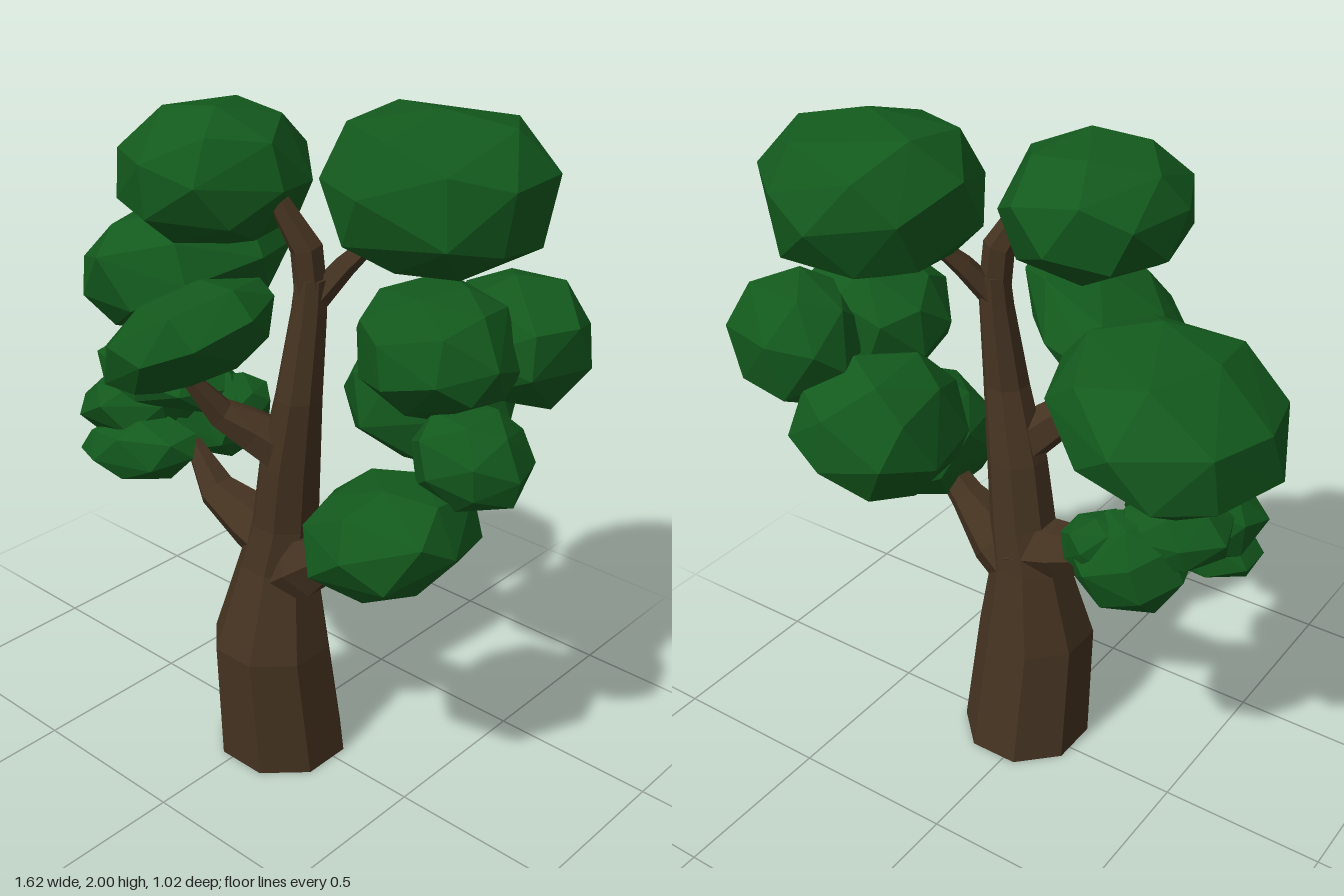
import * as THREE from 'three';
import { ConvexGeometry } from 'three/addons/geometries/ConvexGeometry.js';

const bark = new THREE.MeshStandardMaterial({ color: 0x453321, flatShading: true, side: THREE.DoubleSide });
const leaf = new THREE.MeshStandardMaterial({ color: 0x13591d, flatShading: true });

// Small seeded generator
function seeded(seed) {
  let s = seed * 7919 + 17;
  return () => (s = (s * 16807) % 2147483647) / 2147483647;
}

// Faceted tapering limb through [x, y, z, radius] stations, closed at its tip
function limb(name, stations, sides, level = false) {
  const up = new THREE.Vector3(0, 1, 0);
  const pts = stations.map(([x, y, z]) => new THREE.Vector3(x, y, z));
  const last = pts.length - 1;
  const rings = pts.map((p, i) => {
    const dir = pts[Math.min(i + 1, last)].clone().sub(pts[Math.max(i - 1, 0)]).normalize();
    const turn = new THREE.Quaternion().setFromUnitVectors(up, level ? up : dir);
    return Array.from({ length: sides }, (_, j) => {
      const a = ((j + 0.5) / sides) * Math.PI * 2;
      return new THREE.Vector3(Math.cos(a), 0, Math.sin(a))
        .multiplyScalar(stations[i][3]).applyQuaternion(turn).add(p);
    });
  });
  const out = [];
  const tri = (...vs) => vs.forEach((v) => out.push(v.x, v.y, v.z));
  for (let j = 0; j < sides; j++) {
    const k = (j + 1) % sides;
    for (let i = 0; i < last; i++) {
      tri(rings[i][j], rings[i + 1][j], rings[i][k]);
      tri(rings[i][k], rings[i + 1][j], rings[i + 1][k]);
    }
    tri(pts[last], rings[last][k], rings[last][j]);
  }
  const geo = new THREE.BufferGeometry();
  geo.setAttribute('position', new THREE.Float32BufferAttribute(out, 3));
  geo.computeVertexNormals();
  const mesh = new THREE.Mesh(geo, bark);
  mesh.name = name;
  return mesh;
}

// Irregular faceted leaf clump fitted to a box; lean lifts its +x side, skew pushes
// that side forward, and a lower power makes it boxier
function clump(name, seed, center, radii, { lean = 0, skew = 0, power = 0.96, count = 28 } = {}) {
  const rnd = seeded(seed);
  const spin = new THREE.Euler(rnd() * 6, rnd() * 6, rnd() * 6);
  const full = (c) => Math.sign(c) * Math.abs(c) ** power;
  const pts = [];
  for (let i = 0; i < count; i++) {
    const h = 1 - (2 * i + 1) / count;
    const r = Math.sqrt(1 - h * h);
    const a = i * 2.39996 + (rnd() - 0.5) * 0.35;
    const p = new THREE.Vector3(r * Math.cos(a), h, r * Math.sin(a)).applyEuler(spin);
    p.set(full(p.x), full(p.y), full(p.z)).multiplyScalar(0.96 + rnd() * 0.06);
    p.y += lean * p.x;
    p.z += skew * p.x;
    pts.push(p);
  }
  const box = new THREE.Box3().setFromPoints(pts);
  const mid = box.getCenter(new THREE.Vector3());
  const half = box.getSize(new THREE.Vector3()).multiplyScalar(0.5);
  pts.forEach((p) => p.sub(mid).divide(half).multiply(new THREE.Vector3(...radii)));
  const mesh = new THREE.Mesh(new ConvexGeometry(pts), leaf);
  mesh.position.set(...center);
  mesh.name = name;
  return mesh;
}

export function createModel() {
  const tree = new THREE.Group();
  tree.name = 'tree';

  // Trunk (open underneath) and branches
  const wood = new THREE.Group();
  wood.name = 'wood';
  wood.add(
    limb('trunk', [
      [0.038, 0, 0.028, 0.199], [0.022, 0.38, 0.06, 0.179], [0.028, 0.64, 0.037, 0.118],
      [0.055, 0.78, 0.035, 0.1], [0.085, 0.98, 0.05, 0.09], [0.13, 1.2, 0.065, 0.068],
      [0.147, 1.45, 0.045, 0.05], [0.15, 1.54, 0.04, 0.045],
    ], 8, true),
    limb('topFork', [[0.15, 1.48, 0.04, 0.045], [0.14, 1.62, 0.05, 0.045], [0.08, 1.74, 0.09, 0.03]], 6),
    limb('backFork', [[0.15, 1.47, 0.04, 0.04], [0.21, 1.57, -0.02, 0.032], [0.27, 1.65, -0.08, 0.02]], 5),
    limb('rightBranch', [
      [0.05, 0.69, 0.03, 0.1], [-0.08, 0.72, 0.03, 0.085], [-0.23, 0.77, 0.03, 0.06], [-0.33, 0.9, 0.03, 0.025],
    ], 6),
    limb('leftBranch', [
      [0.03, 0.58, 0.035, 0.1], [0.14, 0.67, 0.04, 0.1], [0.27, 0.77, 0.05, 0.055], [0.4, 0.88, 0.07, 0.035],
    ], 6),
    limb('frontBranch', [
      [0.1, 1.0, 0.04, 0.08], [0.01, 1.08, 0.12, 0.065], [-0.05, 1.14, 0.19, 0.045], [-0.09, 1.26, 0.27, 0.025],
    ], 6),
  );

  // Large leaf clumps
  const crown = new THREE.Group();
  crown.name = 'crown';
  crown.add(
    clump('topLeftLeaves', 1, [0.395, 1.785, -0.16], [0.295, 0.215, 0.295], { power: 0.92 }),
    clump('topRightLeaves', 2, [-0.137, 1.78, 0.095], [0.257, 0.19, 0.265], { power: 0.9 }),
    clump('outerRightLeaves', 3, [-0.5, 1.39, -0.14], [0.31, 0.205, 0.32], { lean: 0.3 }),
    clump('frontLeaves', 4, [-0.1, 1.37, 0.25], [0.29, 0.2, 0.26], { lean: 0.85, skew: 0.25 }),
    clump('middleLeftLeaves', 5, [0.475, 1.39, -0.075], [0.235, 0.18, 0.2], { skew: 0.1 }),
    clump('backLeftLeaves', 6, [0.56, 1.375, -0.305], [0.2, 0.195, 0.18], { count: 22 }),
    clump('backLeaves', 7, [0.325, 1.17, -0.275], [0.24, 0.2, 0.235]),
    clump('outerLeftLeaves', 8, [0.64, 1.15, -0.035], [0.17, 0.135, 0.14], { count: 22 }),
    clump('lowLeftLeaves', 9, [0.49, 0.925, 0.095], [0.22, 0.165, 0.245], { lean: 0.2, power: 0.9 }),
  );

  // Cluster of small clumps on the right branch
  const cluster = new THREE.Group();
  cluster.name = 'smallLeafCluster';
  [
    [[-0.42, 1.115, 0.05], [0.21, 0.095, 0.15], -0.25],
    [[-0.51, 1.0, -0.07], [0.155, 0.105, 0.13], 0],
    [[-0.45, 0.87, 0.13], [0.2, 0.11, 0.12], 0.4],
    [[-0.53, 0.98, 0.08], [0.15, 0.11, 0.15], 0.1],
    [[-0.43, 0.92, -0.14], [0.15, 0.14, 0.14], 0],
    [[-0.34, 0.96, -0.17], [0.1, 0.09, 0.1], 0],
  ].forEach(([c, r, lean], i) =>
    cluster.add(clump('smallLeaves' + (i + 1), 20 + i, c, r, { lean, skew: -0.2, count: 20 })));

  tree.add(wood, crown, cluster);
  return tree;
}
